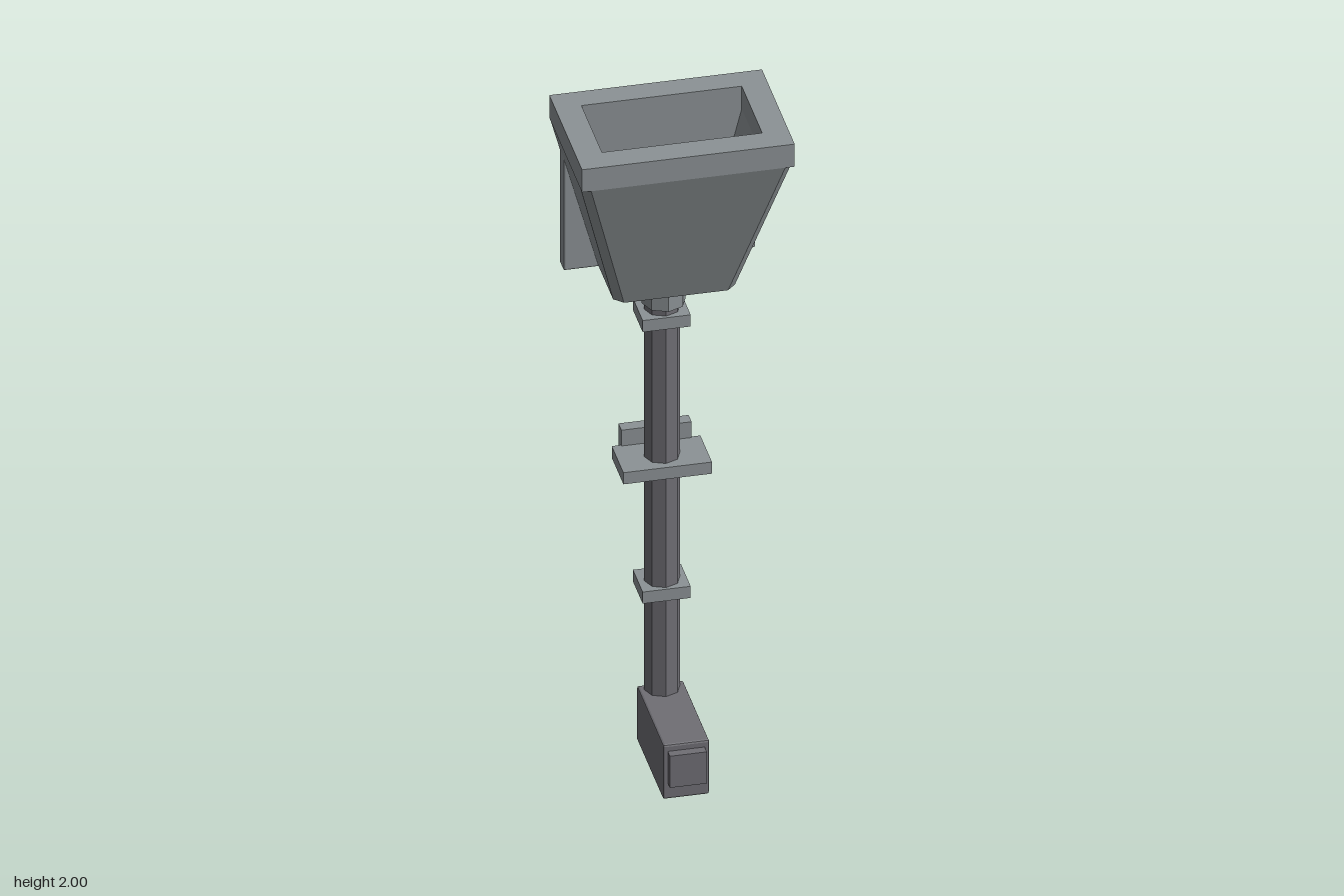
import * as THREE from 'three';
import { RoundedBoxGeometry } from 'three/addons/geometries/RoundedBoxGeometry.js';

const mat = (name, color) => {
  const m = new THREE.MeshStandardMaterial({ color, flatShading: true });
  m.name = name;
  return m;
};

// Tapered shell between two [x, z] loops, closed at the lower end.
// inside = true turns the faces towards the cavity.
function taper(lower, yLow, upper, yHigh, inside) {
  const pos = [];
  const n = lower.length;
  const lo = (i) => [lower[i % n][0], yLow, lower[i % n][1]];
  const hi = (i) => [upper[i % n][0], yHigh, upper[i % n][1]];
  const tri = (a, b, c) => (inside ? pos.push(...a, ...c, ...b) : pos.push(...a, ...b, ...c));
  for (let i = 0; i < n; i++) {
    tri(lo(i), lo(i + 1), hi(i + 1));
    tri(lo(i), hi(i + 1), hi(i));
  }
  for (let i = 1; i < n - 1; i++) tri(lo(0), lo(i + 1), lo(i));
  const g = new THREE.BufferGeometry();
  g.setAttribute('position', new THREE.Float32BufferAttribute(pos, 3));
  g.computeVertexNormals();
  return g;
}

// Plan outline: square back corners, front corners cut by c
const plan = (x, back, front, c) => c
  ? [[x, back], [-x, back], [-x, front - c], [-x + c, front], [x - c, front], [x, front - c]]
  : [[x, back], [-x, back], [-x, front], [x, front]];

export function createModel() {
  const group = new THREE.Group();
  const castGrey = mat('castGrey', 0x8c9295);
  const pipeGrey = mat('pipeGrey', 0x6f6e74);
  const slotDark = mat('slotDark', 0x3c3e40);

  const add = (name, geometry, material) => {
    const mesh = new THREE.Mesh(geometry, material);
    mesh.name = name;
    group.add(mesh);
    return mesh;
  };
  // Box given by half width and its y and z limits
  const box = (name, hx, y0, y1, z0, z1, material, bevel = 0) => {
    const size = [hx * 2, y1 - y0, z1 - z0];
    const g = bevel ? new RoundedBoxGeometry(...size, 1, bevel) : new THREE.BoxGeometry(...size);
    add(name, g, material).position.set(0, (y0 + y1) / 2, (z0 + z1) / 2);
  };
  const octagon = (name, r, y0, y1, z, material) =>
    add(name, new THREE.CylinderGeometry(r, r, y1 - y0, 8), material).position.set(0, (y0 + y1) / 2, z);

  // Hopper rim, open in the middle
  const outline = (loop) => loop.map(([x, z]) => new THREE.Vector2(x, -z));
  const rimShape = new THREE.Shape(outline(plan(0.288, -0.18, 0.205)));
  rimShape.holes.push(new THREE.Path(outline(plan(0.217, -0.11, 0.131))));
  const rim = new THREE.ExtrudeGeometry(rimShape, { depth: 0.07, bevelEnabled: false });
  rim.rotateX(-Math.PI / 2);
  add('hopperRim', rim, castGrey).position.y = 1.93;

  // Hopper walls, outside and inside
  add('hopperBody', taper(plan(0.165, -0.18, 0.06, 0.024), 1.48,
    plan(0.287, -0.18, 0.204, 0.024), 1.93, false), castGrey);
  add('hopperCavity', taper(plan(0.122, -0.11, 0.017), 1.55,
    plan(0.217, -0.11, 0.131), 1.93, true), castGrey);

  // Back plate, overflow slot and outlet
  box('hopperBackPlate', 0.26, 1.478, 1.84, -0.18, -0.135, castGrey, 0.005);
  box('overflowSlot', 0.217, 1.936, 1.946, -0.182, -0.178, slotDark);
  octagon('outlet', 0.06, 1.38, 1.553, -0.087, castGrey);

  // Downpipe
  octagon('downpipe', 0.049, 0.15, 1.42, -0.107, pipeGrey);

  // Collars and the wider middle bracket
  for (const y of [0.488, 1.33]) box('pipeCollar', 0.065, y - 0.018, y + 0.018, -0.165, -0.05, castGrey);
  box('middleBracket', 0.12, 0.855, 0.891, -0.175, -0.038, castGrey);

  // Wall mounting plates
  box('upperWallPlate', 0.095, 1.45, 1.6, -0.205, -0.172, castGrey);
  box('middleWallPlate', 0.095, 0.8, 0.94, -0.205, -0.17, castGrey);

  // Outflow shoe at the foot, with its mouth piece
  box('shoe', 0.063, 0, 0.168, -0.13, 0.18, pipeGrey, 0.006);
  box('shoeMouth', 0.05, 0.05, 0.148, 0.17, 0.205, pipeGrey);

  return group;
}
